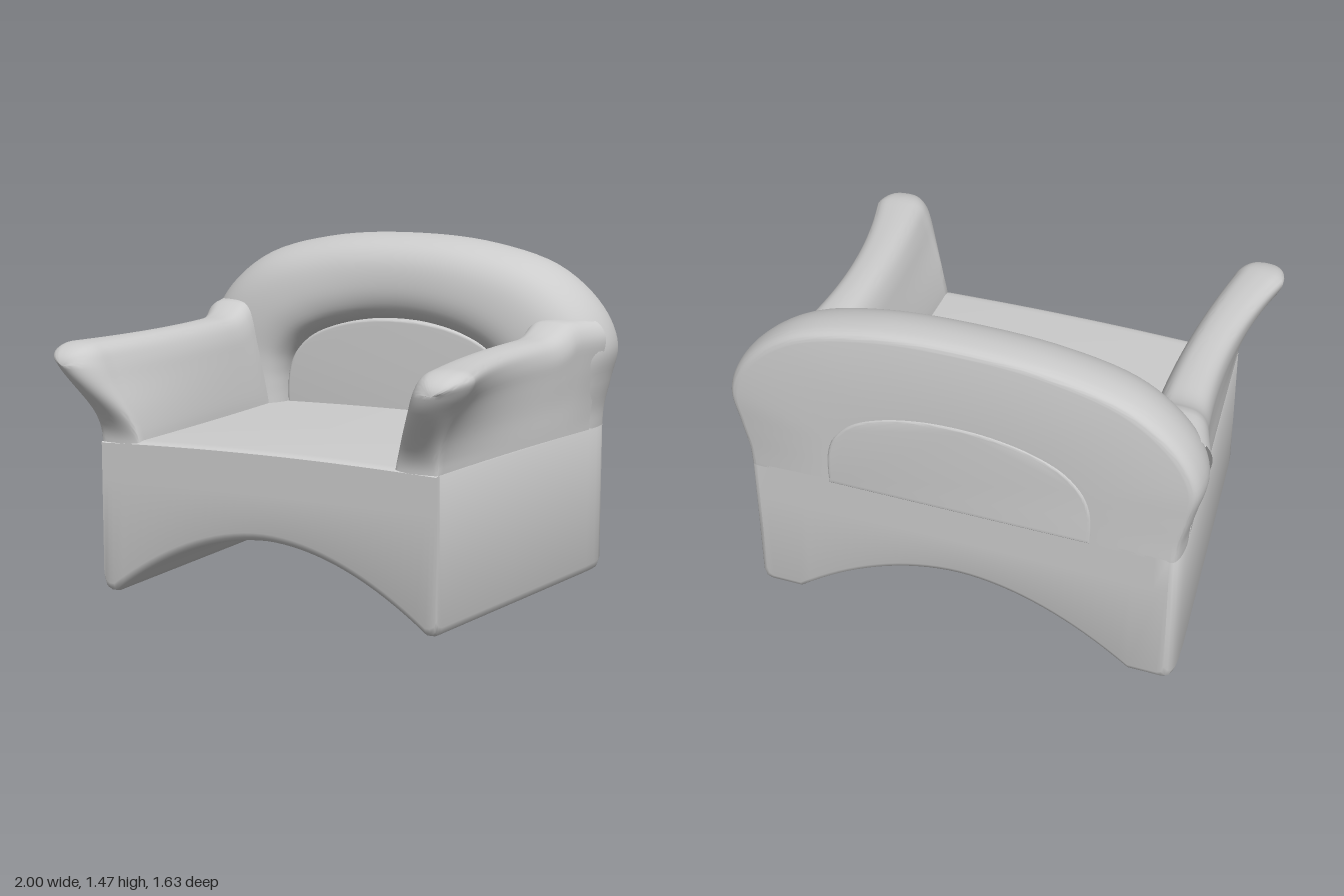
import * as THREE from 'three';
import { toCreasedNormals } from 'three/addons/utils/BufferGeometryUtils.js';

const V = (x, y, z = 0) => new THREE.Vector3(x, y, z);
const material = new THREE.MeshStandardMaterial({ color: 0xcccccc, side: THREE.DoubleSide });
const SEAM = 0.655; // height where the arms and backrest meet the base

// Skin a list of closed rings; turned outward by the sign of the enclosed volume
function loft(name, rings, crease = 0.8) {
  const n = rings[0].length, pts = rings.flat(), index = [];
  for (let i = 0; i < rings.length - 1; i++)
    for (let j = 0; j < n; j++) {
      const a = i * n + j, b = i * n + (j + 1) % n;
      index.push(a, b, b + n, a, b + n, a + n);
    }
  let volume = 0;
  const cross = V(0, 0, 0);
  for (let k = 0; k < index.length; k += 3)
    volume += pts[index[k]].dot(cross.crossVectors(pts[index[k + 1]], pts[index[k + 2]]));
  if (volume < 0) index.reverse();
  const g = new THREE.BufferGeometry().setFromPoints(pts);
  g.setIndex(index);
  const mesh = new THREE.Mesh(toCreasedNormals(g, crease), material);
  mesh.name = name;
  return mesh;
}

// Tapered base with an arched underside and a slightly crowned seat
function base() {
  const section = (z, w, inset) => {
    const ring = [], N = 32, drop = z > 0 ? inset * 0.3 : 0;
    for (let i = 0; i <= N; i++) {
      const x = -0.74 + 1.48 * i / N;
      ring.push(V(x, 0.3 * (1 - Math.abs(x / 0.74) ** 1.9) + inset, z));
    }
    const side = [[w - 0.03, inset], [w - 0.01, 0.01 + inset], [w, 0.04 + inset], [w, 0.3], [w, SEAM]];
    side.forEach(([x, y]) => ring.push(V(x, y, z)));
    for (let i = 0; i <= N; i++) {
      const t = 1 - 2 * i / N;
      ring.push(V(t * (w - 0.005), 0.68 - 0.018 * t * t - drop, z));
    }
    side.reverse().forEach(([x, y]) => ring.push(V(-x, y, z)));
    return ring;
  };
  const stations = [
    [-0.81, 0.895, 0.04], [-0.803, 0.911, 0.02], [-0.785, 0.923, 0.007], [-0.75, 0.93, 0], [-0.7, 0.93, 0],
    [-0.62, 0.925, 0], [0.03, 0.855, 0], [0.585, 0.795, 0], [0.61, 0.792, 0.007], [0.623, 0.791, 0.02], [0.63, 0.79, 0.04],
  ];
  const rings = stations.map(s => section(...s));
  // flat ends
  const cap = ring => ring.map(p => V(p.x, 0.5, p.z));
  return loft('base', [cap(rings[0]), ...rings, cap(rings.at(-1))]);
}

// Flared arm: the section blends from back to middle to front, with a rounded nose
function arm(side) {
  const ys = [SEAM, 0.71, 0.8, 0.92, 1.0, 1.05, 1.077, 1.086];
  // [inner x, outer x] at each height
  const back = [[.62, .925], [.63, .927], [.65, .935], [.68, .958], [.70, .97], [.72, .95], [.75, .915], [.81, .86]];
  const middle = [[.60, .855], [.605, .855], [.62, .855], [.645, .863], [.665, .87], [.69, .86], [.72, .83], [.755, .79]];
  const front = [[.60, .79], [.612, .794], [.64, .82], [.69, .885], [.72, .94], [.745, .955], [.78, .925], [.825, .875]];
  const N = 59, BACK = -0.62;
  const smooth = y => THREE.MathUtils.smoothstep(y, 0.66, 1.02);
  const noseZ = y => 0.63 + 0.19 * smooth(y);
  const noseR = y => 0.01 + 0.15 * smooth(y);
  const section = v => {
    const a = (1 - v) * (1 - 2 * v), b = 4 * v * (1 - v), c = v * (2 * v - 1);
    const at = (i, k) => V(a * back[i][k] + b * middle[i][k] + c * front[i][k], ys[i]);
    const up = ys.map((_, i) => at(i, 0)), down = ys.map((_, i) => at(i, 1)).reverse();
    return new THREE.CatmullRomCurve3([...up, ...down]).getPoints(N);
  };
  const rings = [];
  for (let i = 0; i < 36; i++) {
    const v = i / 36;
    rings.push(section(v).map((p, j) => {
      const z = BACK + v * (noseZ(p.y) - noseR(p.y) - BACK);
      // fillet up and out into the backrest
      const rise = 0.06 * Math.min(1, Math.max(0, -0.25 - z) / 0.2) ** 2.5;
      const flare = j > N / 2 ? 0.025 * (Math.max(0, -0.35 - z) / 0.27) ** 1.5 : 0;
      return V(side * (p.x + flare * smooth(p.y)), p.y + rise * smooth(p.y), z);
    }));
  }
  const end = section(1);
  for (let k = 0; k <= 10; k++) {
    const t = k / 10 * Math.PI / 2, q = k === 10 ? 0 : Math.cos(t);
    rings.push(end.map((p, j) => {
      const mid = (p.x + end[N - j].x) / 2;
      const y = p.y > 1 ? 1 + (p.y - 1) * q : p.y;
      return V(side * (mid + (p.x - mid) * q), y, noseZ(p.y) - noseR(p.y) * (1 - Math.sin(t)));
    }));
  }
  return loft(side > 0 ? 'leftArm' : 'rightArm', rings);
}

const mirrored = half => new THREE.CatmullRomCurve3(
  [...half, ...half.slice(0, -1).reverse().map(([x, y]) => [-x, y])].map(([x, y]) => V(x, y)));
const innerArch = mirrored([[.565, SEAM], [.567, .74], [.56, .82], [.53, .9], [.45, .985], [.32, 1.045], [.16, 1.08], [0, 1.09]]);
const outerArch = mirrored([[.93, SEAM], [.937, .74], [.968, .87], [.998, 1.02], [.93, 1.18], [.73, 1.35], [.4, 1.445], [0, 1.473]]);

// Padded arch of the backrest: flat behind, rolled in front
function backRoll() {
  // [share from outer to inner edge, share from back to front]
  const roll = new THREE.CatmullRomCurve3([
    [.095, 0], [.05, .02], [.02, .07], [0, .17], [0, .38], [.05, .62], [.15, .82], [.29, .94],
    [.48, 1], [.7, 1], [.87, .92], [.97, .76], [1, .55], [1, .25], [1, 0],
  ].map(([s, d]) => V(s, d))).getPoints(56);
  const rings = [];
  for (let i = 0; i <= 80; i++) {
    const u = i / 80, o = outerArch.getPoint(u), n = innerArch.getPoint(u);
    const depth = 0.36 - 0.04 * Math.sin(Math.PI * u) ** 10;
    rings.push(roll.map(p => V(
      o.x + (n.x - o.x) * p.x, o.y + (n.y - o.y) * p.x, -0.81 + depth * p.y)));
  }
  return loft('backRoll', rings);
}

// Inset panel filling the arch
function backPanel() {
  const shape = new THREE.Shape(innerArch.getPoints(64).map(p => new THREE.Vector2(p.x, p.y)));
  const g = new THREE.ExtrudeGeometry(shape, {
    depth: 0.225, bevelThickness: 0.01, bevelSize: 0.012, bevelOffset: -0.012, bevelSegments: 4,
  });
  g.translate(0, 0, -0.805);
  const mesh = new THREE.Mesh(toCreasedNormals(g, 0.6), material);
  mesh.name = 'backPanel';
  return mesh;
}

export function createModel() {
  const chair = new THREE.Group();
  chair.name = 'armchair';
  chair.add(base(), arm(1), arm(-1), backRoll(), backPanel());
  return chair;
}
